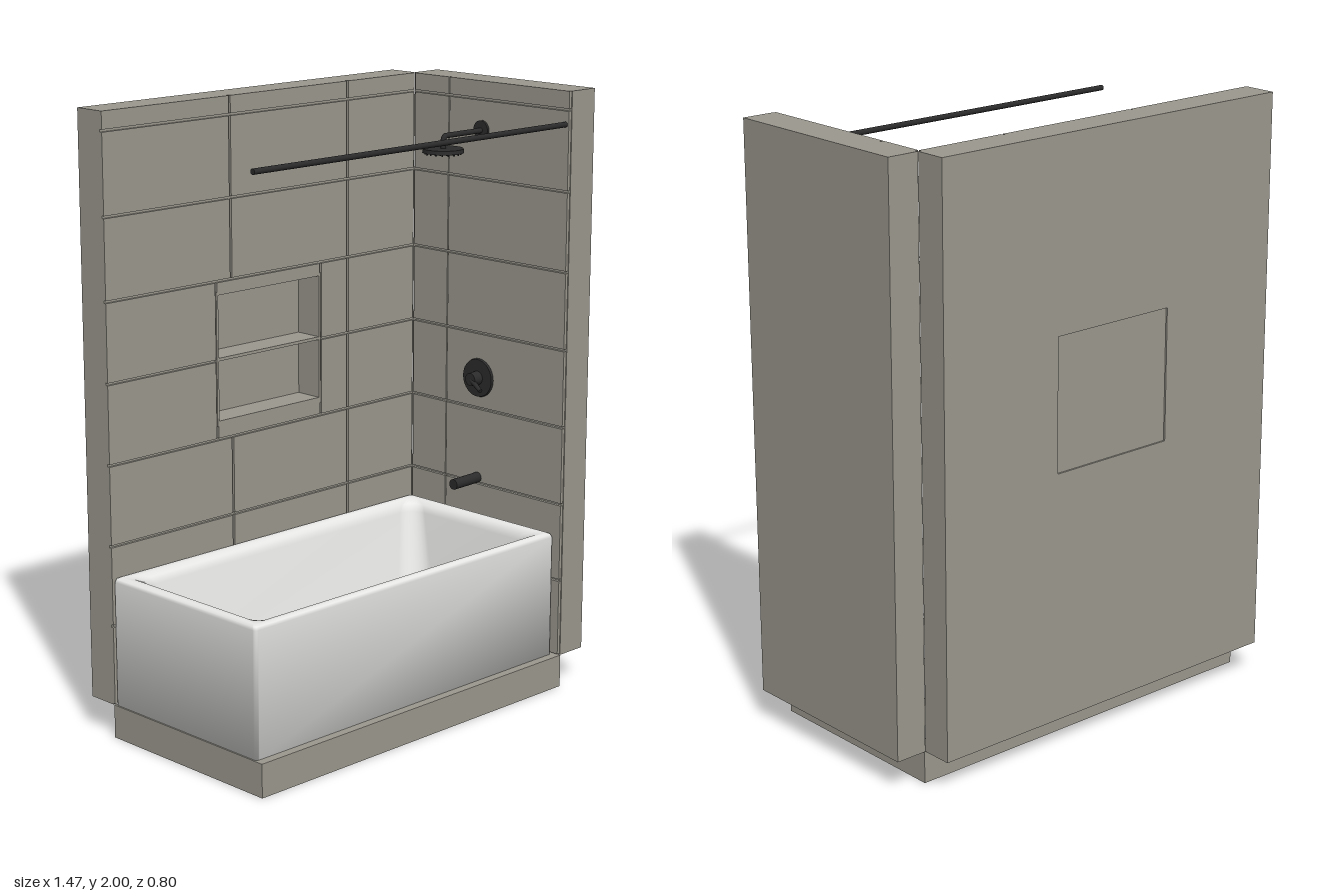
import * as THREE from 'three';

const tile = new THREE.MeshStandardMaterial({ color: 0x9b988e });
tile.name = 'stone grey';
const enamel = new THREE.MeshStandardMaterial({ color: 0xf4f4f2 });
enamel.name = 'white enamel';
const metal = new THREE.MeshStandardMaterial({ color: 0x2b2b2c });
metal.name = 'matte black';

function add(parent, name, geometry, material) {
  const mesh = new THREE.Mesh(geometry, material);
  mesh.name = name;
  parent.add(mesh);
  return mesh;
}

// Box given by its limits on each axis
function box(parent, name, [x0, x1], [y0, y1], [z0, z1], material = tile) {
  const m = add(parent, name, new THREE.BoxGeometry(x1 - x0, y1 - y0, z1 - z0), material);
  m.position.set((x0 + x1) / 2, (y0 + y1) / 2, (z0 + z1) / 2);
  return m;
}

// Cylinder between two points
function rod(parent, name, a, b, r0, r1 = r0, sides = 24) {
  const p = new THREE.Vector3(...a), q = new THREE.Vector3(...b);
  const d = q.clone().sub(p);
  const m = add(parent, name, new THREE.CylinderGeometry(r1, r0, d.length(), sides), metal);
  m.position.copy(p).add(q).multiplyScalar(0.5);
  m.quaternion.setFromUnitVectors(new THREE.Vector3(0, 1, 0), d.normalize());
  return m;
}

// Rounded rectangle loop at height y
function roundedLoop([x0, x1, z0, z1, y, r], n = 8) {
  const corners = [[x1 - r, z1 - r], [x0 + r, z1 - r], [x0 + r, z0 + r], [x1 - r, z0 + r]];
  const pts = [];
  corners.forEach(([cx, cz], k) => {
    for (let i = 0; i <= n; i++) {
      const a = (k + i / n) * Math.PI / 2;
      pts.push([cx + r * Math.cos(a), y, cz + r * Math.sin(a)]);
    }
  });
  return pts;
}

// Tub skin: apron, rolled rim, sloping basin and floor
function tubGeometry() {
  const sections = [
    [-0.73, 0.612, -0.287, 0.37, 0.11, 0.012],
    [-0.73, 0.612, -0.287, 0.37, 0.52, 0.012],
    [-0.726, 0.608, -0.283, 0.366, 0.53, 0.012],
    [-0.715, 0.598, -0.273, 0.356, 0.535, 0.015],
    [-0.695, 0.58, -0.252, 0.342, 0.534, 0.03],
    [-0.676, 0.563, -0.233, 0.326, 0.524, 0.05],
    [-0.665, 0.553, -0.224, 0.317, 0.5, 0.06],
    [-0.622, 0.512, -0.165, 0.272, 0.235, 0.085],
    [-0.612, 0.502, -0.153, 0.262, 0.207, 0.09],
    [-0.59, 0.48, -0.13, 0.24, 0.193, 0.09],
    [-0.56, 0.45, -0.1, 0.21, 0.19, 0.09],
  ];
  const loops = sections.map((s) => roundedLoop(s));
  const n = loops[0].length;
  const pos = loops.flat(2), idx = [];
  for (let i = 0; i < loops.length - 1; i++) {
    for (let j = 0; j < n; j++) {
      const a = i * n + j, b = i * n + (j + 1) % n;
      idx.push(a, a + n, b, b, a + n, b + n);
    }
  }
  const under = loops.length * n, floor = under + 1, last = (loops.length - 1) * n;
  pos.push(-0.06, 0.11, 0.04, -0.06, 0.188, 0.055);
  for (let j = 0; j < n; j++) {
    const k = (j + 1) % n;
    idx.push(under, j, k, floor, last + k, last + j);
  }
  const g = new THREE.BufferGeometry();
  g.setAttribute('position', new THREE.Float32BufferAttribute(pos, 3));
  g.setIndex(idx);
  g.computeVertexNormals();
  return g;
}

export function createModel() {
  const model = new THREE.Group();
  model.name = 'bathtubAlcove';

  // Plinth and walls, with an opening for the niche
  box(model, 'plinth', [-0.735, 0.625], [0, 0.11], [-0.29, 0.4]);
  box(model, 'sideWall', [0.626, 0.735], [0.11, 2], [-0.295, 0.398]);
  const wall = new THREE.Shape([[-0.735, 0.11], [0.625, 0.11], [0.625, 2], [-0.735, 2]]
    .map((p) => new THREE.Vector2(...p)));
  wall.holes.push(new THREE.Path([[-0.285, 0.94], [-0.285, 1.38], [0.175, 1.38], [0.175, 0.94]]
    .map((p) => new THREE.Vector2(...p))));
  const back = add(model, 'backWall',
    new THREE.ExtrudeGeometry(wall, { depth: 0.105, bevelEnabled: false }), tile);
  back.position.z = -0.4;

  // Niche lining and shelf
  const niche = new THREE.Group();
  niche.name = 'niche';
  model.add(niche);
  const depth = [-0.392, -0.286];
  box(niche, 'nicheBack', [-0.285, 0.175], [0.94, 1.38], [-0.394, -0.384]);
  box(niche, 'nicheSideRight', [-0.285, -0.277], [0.94, 1.38], depth);
  box(niche, 'nicheSideLeft', [0.167, 0.175], [0.94, 1.38], depth);
  box(niche, 'nicheSill', [-0.277, 0.167], [0.94, 0.958], depth);
  box(niche, 'nicheHead', [-0.277, 0.167], [1.37, 1.38], depth);
  box(niche, 'nicheShelf', [-0.277, 0.167], [1.155, 1.165], depth);

  // Wall tiles separated by narrow joints
  const rows = [0.11, 0.373, 0.635, 0.897, 1.157, 1.415, 1.677, 1.94, 2];
  const tiles = new THREE.Group();
  tiles.name = 'wallTiles';
  model.add(tiles);
  const g = 0.004;
  const backTile = (x0, x1, y0, y1) => box(tiles, 'backTile',
    [x0 + (x0 > -0.73 ? g : 0), x1 - (x1 < 0.6 ? g : 0)], [y0 + g, y1 - (y1 < 2 ? g : 0)], [-0.296, -0.286]);
  for (let i = 0; i < rows.length - 1; i++) {
    const y0 = rows[i], y1 = rows[i + 1];
    const besideNiche = i === 3 || i === 4;
    const spans = besideNiche
      ? [[-0.735, -0.285], [0.175, 0.3], [0.3, 0.614]]
      : [[-0.735, -0.22], [-0.22, 0.3], [0.3, 0.614]];
    spans.forEach(([a, b]) => backTile(a, b, y0, y1));
    for (const [a, b] of [[-0.286, -0.127], [-0.127, 0.395]]) {
      box(tiles, 'sideTile', [0.615, 0.627], [y0 + g, y1 - (y1 < 2 ? g : 0)], [a + g, b]);
    }
  }
  backTile(-0.285, 0.175, 0.897, 0.944);
  backTile(-0.285, 0.175, 1.376, 1.415);

  add(model, 'bathtub', tubGeometry(), enamel);

  // Curtain rail
  rod(model, 'curtainRail', [-0.735, 1.893, 0.381], [0.615, 1.893, 0.381], 0.009);

  // Shower arm, head and nozzles
  const shower = new THREE.Group();
  shower.name = 'shower';
  model.add(shower);
  const z = 0.023;
  rod(shower, 'showerFlange', [0.615, 1.84, z], [0.607, 1.84, z], 0.031);
  const arm = new THREE.CurvePath();
  const v = (x, y) => new THREE.Vector3(x, y, z);
  arm.add(new THREE.LineCurve3(v(0.61, 1.838), v(0.446, 1.838)));
  arm.add(new THREE.QuadraticBezierCurve3(v(0.446, 1.838), v(0.43, 1.838), v(0.43, 1.822)));
  arm.add(new THREE.LineCurve3(v(0.43, 1.822), v(0.43, 1.795)));
  add(shower, 'showerArm', new THREE.TubeGeometry(arm, 48, 0.009, 12), metal);
  rod(shower, 'showerHead', [0.43, 1.785, z], [0.43, 1.798, z], 0.068, 0.066, 40);
  for (const [r, count] of [[0.02, 6], [0.04, 12], [0.058, 18]]) {
    for (let i = 0; i < count; i++) {
      const a = i / count * Math.PI * 2;
      const x = 0.43 + r * Math.cos(a), nz = z + r * Math.sin(a);
      rod(shower, 'nozzle', [x, 1.779, nz], [x, 1.786, nz], 0.003, 0.003, 6);
    }
  }

  // Mixer valve with lever
  const valve = new THREE.Group();
  valve.name = 'mixerValve';
  model.add(valve);
  rod(valve, 'valvePlate', [0.615, 1.003, z], [0.607, 1.003, z], 0.066, 0.064, 40);
  rod(valve, 'valveBody', [0.608, 1.003, z], [0.572, 1.003, z], 0.024, 0.022);
  rod(valve, 'valveLever', [0.58, 1, z], [0.564, 0.974, 0.078], 0.009, 0.007, 16);

  // Tub spout
  rod(model, 'tubSpout', [0.615, 0.655, z], [0.495, 0.653, z], 0.018, 0.018);
  return model;
}
